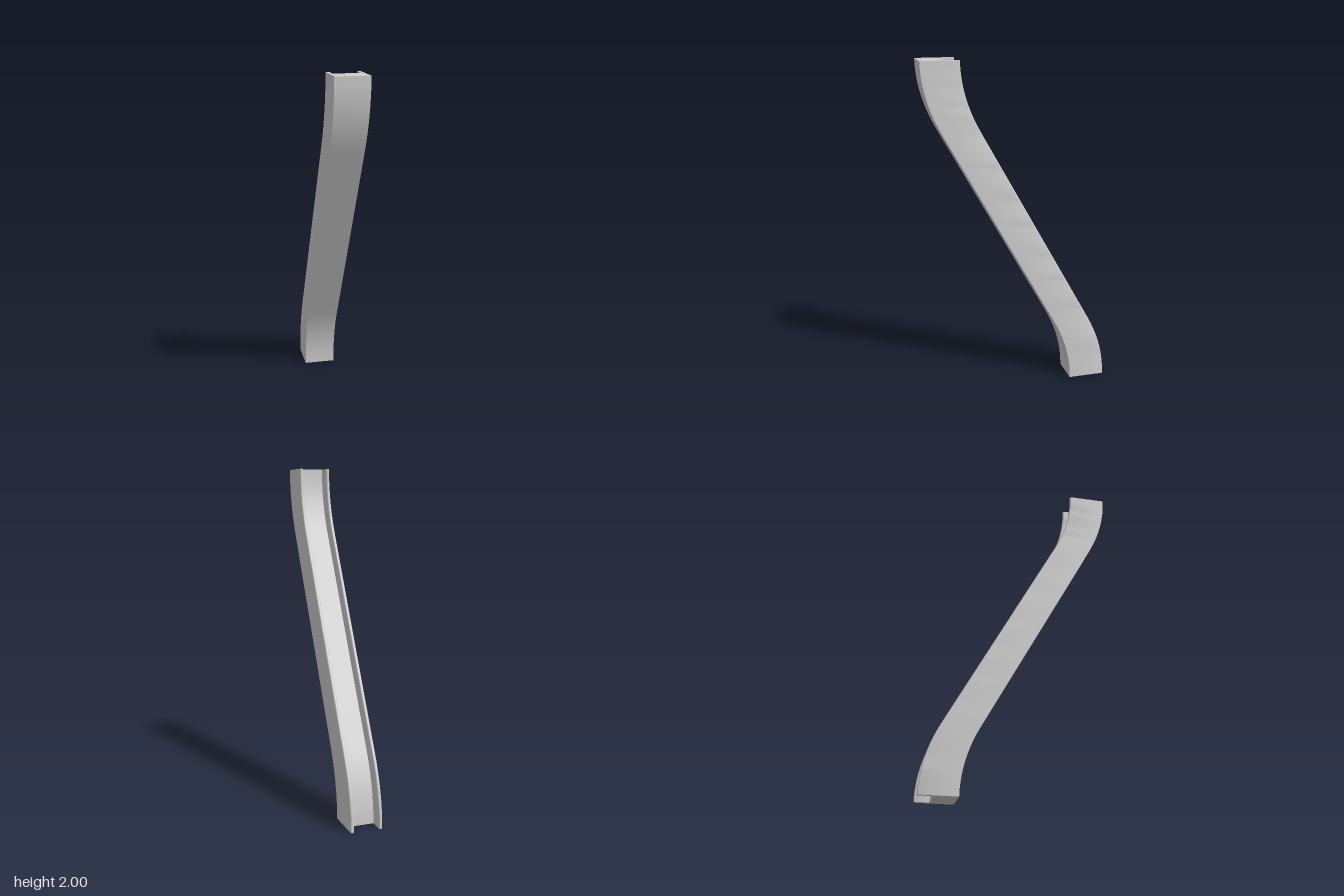
import * as THREE from 'three';
import { toCreasedNormals } from 'three/addons/utils/BufferGeometryUtils.js';

const HEIGHT = 2, BEND = 0.4, SLOPE = 0.555;
const HALF_W = 0.095, WALL = 0.02, HALF_D = 0.111, FLOOR = 0.024;

// Depth offset of the chute at a height: straight in the middle, easing to vertical at both ends
function offsetAt(y) {
  const h = y - HEIGHT / 2;
  const straight = HEIGHT / 2 - BEND;
  const a = Math.abs(h);
  const t = Math.max(0, a - straight);
  return Math.sign(h) * SLOPE * (Math.min(a, straight) + t - (t * t) / (2 * BEND));
}

// Channel section: thick front slab and two side walls with rounded lips
function channelSection() {
  const r = WALL / 2, lip = HALF_D - r, inner = HALF_W - WALL;
  const s = new THREE.Shape();
  s.moveTo(-HALF_W, -HALF_D);
  s.lineTo(HALF_W, -HALF_D);
  s.lineTo(HALF_W, lip);
  s.absarc(HALF_W - r, lip, r, 0, Math.PI, false);
  s.lineTo(inner, FLOOR);
  s.lineTo(-inner, FLOOR);
  s.lineTo(-inner, lip);
  s.absarc(-HALF_W + r, lip, r, 0, Math.PI, false);
  s.closePath();
  return s;
}

export function createModel() {
  const group = new THREE.Group();
  group.name = 'chute';

  // Extrude the section upward, then shift each level along the bend
  const geo = new THREE.ExtrudeGeometry(channelSection(), {
    depth: HEIGHT, steps: 50, curveSegments: 10, bevelEnabled: false,
  });
  geo.rotateX(-Math.PI / 2);
  const p = geo.attributes.position;
  for (let i = 0; i < p.count; i++) p.setZ(i, p.getZ(i) + offsetAt(p.getY(i)));

  const channel = new THREE.Mesh(
    toCreasedNormals(geo, 0.6),
    new THREE.MeshStandardMaterial({ color: 0xcccccc }),
  );
  channel.name = 'channel';
  group.add(channel);
  return group;
}
